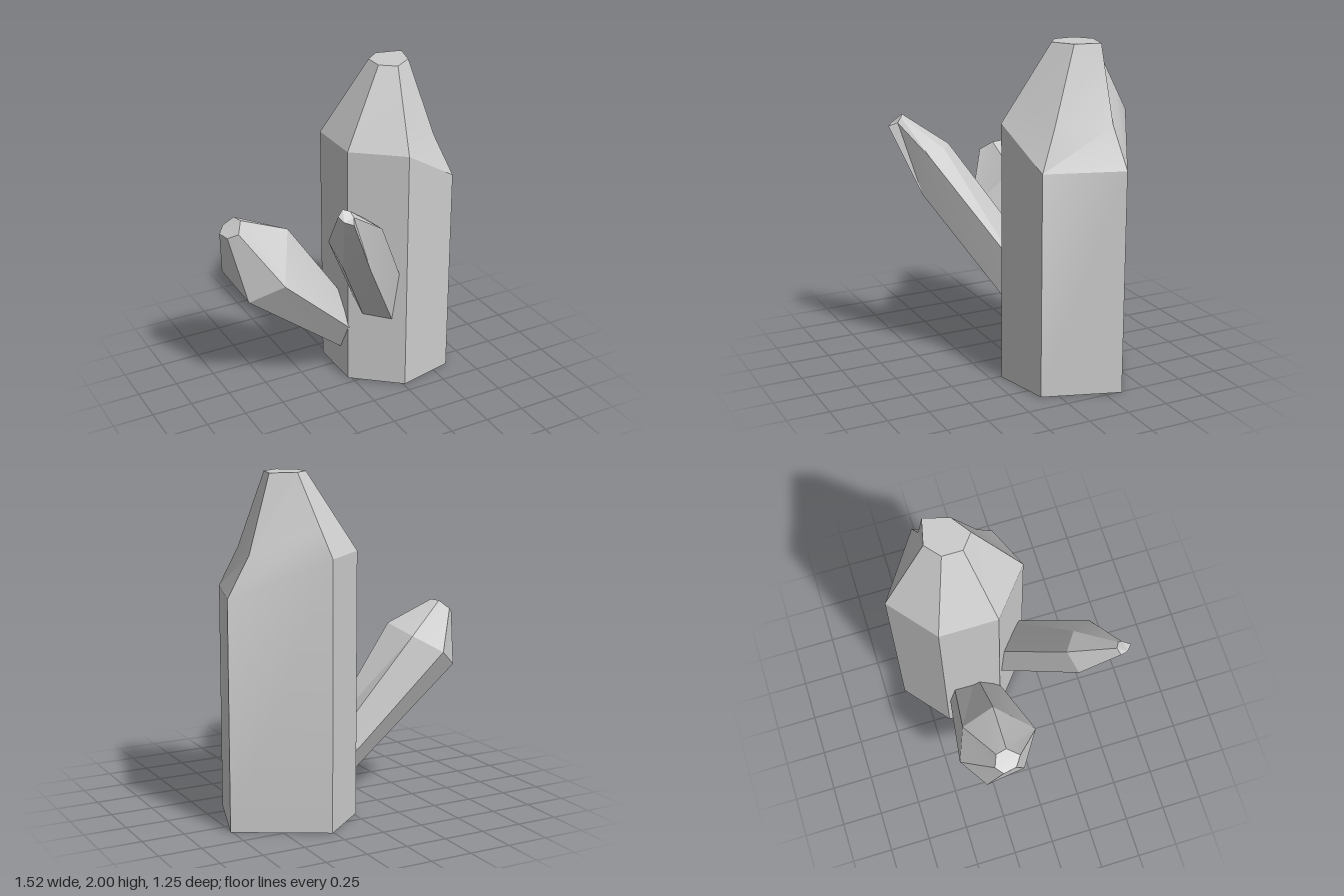
import * as THREE from 'three';
import { toCreasedNormals } from 'three/addons/utils/BufferGeometryUtils.js';

// Skins six-sided rings (listed from root to tip, counterclockwise seen from the tip) and caps both ends
function crystal(name, rings, crease) {
  const pos = [];
  const tri = (a, b, c) => pos.push(...a, ...b, ...c);
  const n = rings[0].length;
  for (let i = 0; i < rings.length - 1; i++) {
    for (let j = 0; j < n; j++) {
      const k = (j + 1) % n;
      const a = rings[i][j], b = rings[i][k], c = rings[i + 1][k], d = rings[i + 1][j];
      tri(a, b, c);
      tri(a, c, d);
    }
  }
  const root = rings[0], tip = rings[rings.length - 1];
  for (let j = 1; j < n - 1; j++) {
    tri(root[0], root[j + 1], root[j]);
    tri(tip[0], tip[j], tip[j + 1]);
  }
  const geo = new THREE.BufferGeometry();
  geo.setAttribute('position', new THREE.Float32BufferAttribute(pos, 3));
  const mesh = new THREE.Mesh(
    toCreasedNormals(geo, crease),
    new THREE.MeshStandardMaterial({ color: 0xcccccc })
  );
  mesh.name = name;
  return mesh;
}

export function createModel() {
  const group = new THREE.Group();
  group.name = 'crystalCluster';

  // Tall upright crystal: prism, sloping shoulder with one hollowed corner, flat tip
  const shoulder = [
    [-0.02, 1.55, -0.4], [-0.02, 1.55, -0.05], [0.26, 1.55, 0.18],
    [0.61, 1.33, 0.1], [0.76, 1.33, -0.35], [0.26, 1.55, -0.63],
  ];
  const foot = shoulder.map(([x, , z]) => [x, 0, z]);
  const tip = [
    [0.245, 2, -0.285], [0.245, 2, -0.165], [0.335, 2, -0.095],
    [0.45, 2, -0.175], [0.49, 2, -0.325], [0.335, 2, -0.36],
  ];
  const waist = shoulder.map((p, j) => p.map((v, k) => v + (tip[j][k] - v) * 0.35));
  waist[3] = [0.54, 1.56, -0.01];
  waist[4] = [0.62, 1.56, -0.335];
  group.add(crystal('tallCrystal', [foot, shoulder, waist, tip], 0.5));

  // Short thick crystal leaning out to the side
  group.add(crystal('sideCrystal', [
    [[0.08, 0.28, -0.06], [0.08, 0.43, -0.18], [0.08, 0.44, -0.33],
      [0.08, 0.26, -0.365], [0.08, 0.1, -0.28], [0.08, 0.1, -0.16]],
    [[-0.48, 0.82, 0.035], [-0.35, 1.07, -0.19], [-0.4, 1.02, -0.39],
      [-0.57, 0.92, -0.46], [-0.72, 0.81, -0.34], [-0.66, 0.7, -0.09]],
    [[-0.69, 1.14, -0.13], [-0.645, 1.19, -0.2], [-0.66, 1.19, -0.265],
      [-0.72, 1.14, -0.29], [-0.76, 1.11, -0.25], [-0.745, 1.11, -0.17]],
  ], 0.3));

  // Slender crystal leaning forward
  group.add(crystal('frontCrystal', [
    [[0.13, 0.34, -0.08], [0.28, 0.31, 0.03], [0.3, 0.65, 0.07],
      [0.2, 0.7, 0], [0.11, 0.71, -0.08], [0.08, 0.47, -0.11]],
    [[-0.28, 1.06, 0.38], [-0.16, 1.06, 0.49], [-0.08, 1.3, 0.47],
      [-0.13, 1.33, 0.36], [-0.24, 1.33, 0.285], [-0.345, 1.22, 0.33]],
    [[-0.38, 1.46, 0.59], [-0.34, 1.45, 0.625], [-0.315, 1.47, 0.575],
      [-0.325, 1.5, 0.55], [-0.36, 1.51, 0.53], [-0.395, 1.48, 0.545]],
  ], 0.3));

  return group;
}
